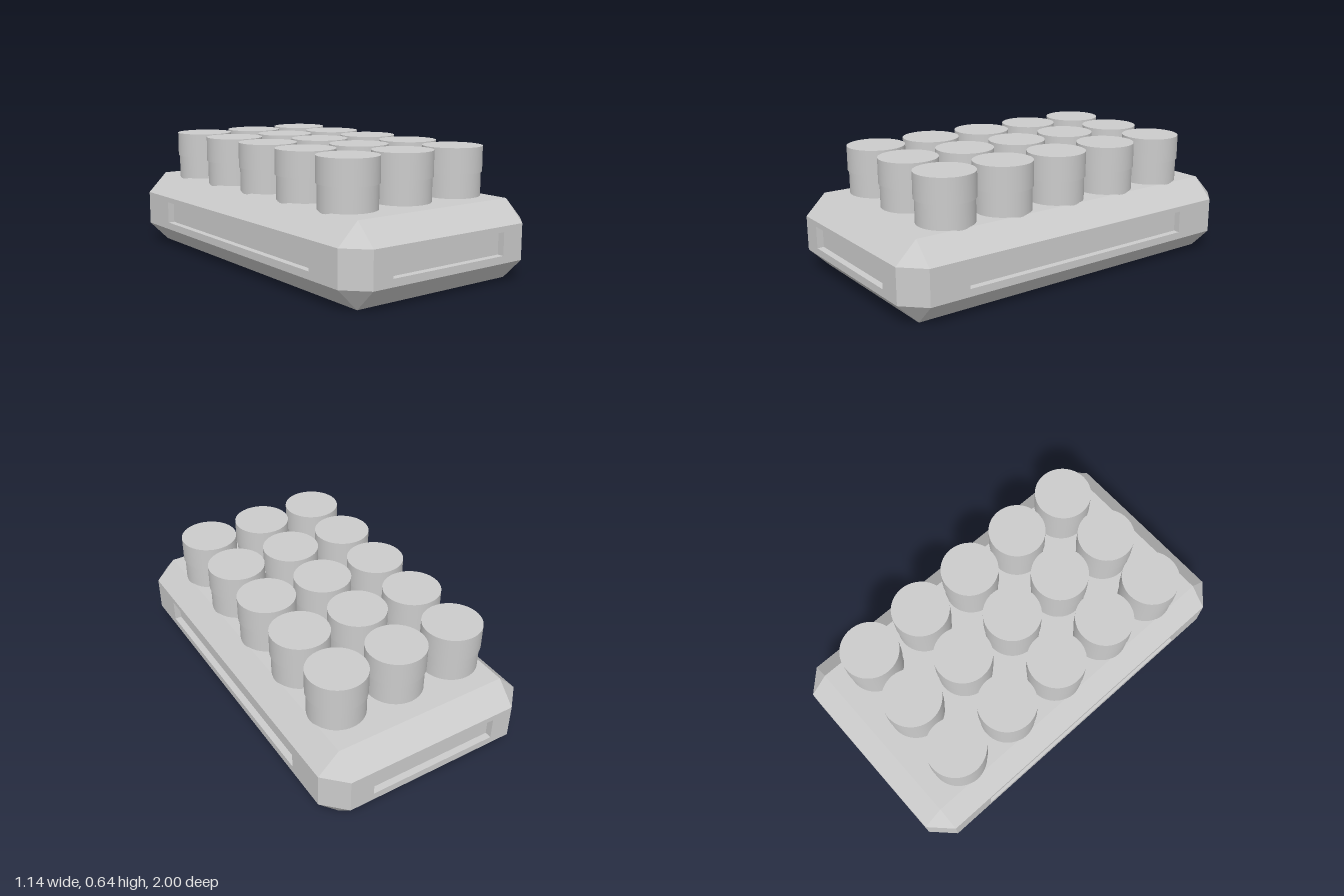
import * as THREE from 'three';

const material = new THREE.MeshStandardMaterial({ color: 0xcccccc });

// Overall body: half width, half length, height, chamfer
const HW = 0.57, HL = 1, H = 0.395, C = 0.107;
const IW = HW - C, IL = HL - C;

function addMesh(parent, geometry, name) {
  const mesh = new THREE.Mesh(geometry, material);
  mesh.name = name;
  parent.add(mesh);
  return mesh;
}

// Chamfered shell: two inset rings and two full rings; the four upright panels are left open
function shellGeometry() {
  const outline = [[HW, -IL], [HW, IL], [IW, HL], [-IW, HL], [-HW, IL], [-HW, -IL], [-IW, -HL], [IW, -HL]];
  const ring = (y, inset) => outline.map(([x, z]) => inset
    ? new THREE.Vector3(Math.sign(x) * IW, y, Math.sign(z) * IL)
    : new THREE.Vector3(x, y, z));
  const rings = [ring(0, true), ring(C, false), ring(H - C, false), ring(H, true)];
  const points = [];
  const tri = (a, b, c) => {
    if (new THREE.Triangle(a, b, c).getArea() > 1e-6) points.push(a, b, c);
  };
  for (let r = 0; r < 3; r++) {
    for (let i = 0; i < 8; i++) {
      if (r === 1 && i % 2 === 0) continue;
      const j = (i + 1) % 8, low = rings[r], up = rings[r + 1];
      tri(low[i], up[i], up[j]);
      tri(low[i], up[j], low[j]);
    }
  }
  const geometry = new THREE.BufferGeometry().setFromPoints(points);
  geometry.computeVertexNormals();
  return geometry;
}

// Upright panel facing +z with a shallow rectangular recess
function slottedPanel(name, width, slotWidth, slotX) {
  const group = new THREE.Group();
  group.name = name;
  const h = H - 2 * C, slotH = 0.115, slotY = 0.2025 - H / 2, depth = 0.035;
  const rect = (path, w, ht, x, y) => path
    .moveTo(x - w / 2, y - ht / 2).lineTo(x + w / 2, y - ht / 2)
    .lineTo(x + w / 2, y + ht / 2).lineTo(x - w / 2, y + ht / 2).closePath();
  const shape = rect(new THREE.Shape(), width, h, 0, 0);
  shape.holes.push(rect(new THREE.Path(), slotWidth, slotH, slotX, slotY));
  addMesh(group, new THREE.ShapeGeometry(shape), 'panelFace');

  const floor = addMesh(group, new THREE.PlaneGeometry(slotWidth, slotH), 'slotFloor');
  floor.position.set(slotX, slotY, -depth);
  for (const s of [-1, 1]) {
    const end = addMesh(group, new THREE.PlaneGeometry(depth, slotH), 'slotEnd');
    end.rotation.y = -s * Math.PI / 2;
    end.position.set(slotX + s * slotWidth / 2, slotY, -depth / 2);
    const edge = addMesh(group, new THREE.PlaneGeometry(slotWidth, depth), 'slotEdge');
    edge.rotation.x = s * Math.PI / 2;
    edge.position.set(slotX, slotY + s * slotH / 2, -depth / 2);
  }
  return group;
}

function createBody() {
  const body = new THREE.Group();
  body.name = 'body';
  addMesh(body, shellGeometry(), 'chamfers');

  const top = addMesh(body, new THREE.PlaneGeometry(2 * IW, 2 * IL), 'topFace');
  top.rotation.x = -Math.PI / 2;
  top.position.y = H;
  const base = addMesh(body, new THREE.PlaneGeometry(2 * IW, 2 * IL), 'bottomFace');
  base.rotation.x = Math.PI / 2;

  // Four slotted panels: name, turn, distance, width, slot width, slot offset
  const panels = [
    ['frontPanel', 0, HL, 2 * IW, 0.688, -0.007],
    ['leftPanel', Math.PI / 2, HW, 2 * IL, 1.345, -0.012],
    ['backPanel', Math.PI, HL, 2 * IW, 0.688, 0.007],
    ['rightPanel', -Math.PI / 2, HW, 2 * IL, 1.345, 0.012],
  ];
  for (const [name, turn, distance, width, slotWidth, slotX] of panels) {
    const panel = slottedPanel(name, width, slotWidth, slotX);
    panel.rotation.y = turn;
    panel.position.set(Math.sin(turn) * distance, H / 2, Math.cos(turn) * distance);
    body.add(panel);
  }
  return body;
}

// Round peg: narrower stem sunk into the body, wider cap on top
function createPeg() {
  const peg = new THREE.Group();
  peg.name = 'peg';
  addMesh(peg, new THREE.CylinderGeometry(0.1425, 0.1425, 0.145, 48), 'stem').position.y = 0.4425;
  addMesh(peg, new THREE.CylinderGeometry(0.149, 0.149, 0.127, 48), 'cap').position.y = 0.5785;
  return peg;
}

export function createModel() {
  const model = new THREE.Group();
  model.name = 'peggedBlock';
  model.add(createBody());

  // Grid of pegs, three across and five along
  for (let i = -1; i <= 1; i++) {
    for (let j = -2; j <= 2; j++) {
      const peg = createPeg();
      peg.position.set(i * 0.328 - 0.001, 0, j * 0.328 - 0.001);
      model.add(peg);
    }
  }
  return model;
}
